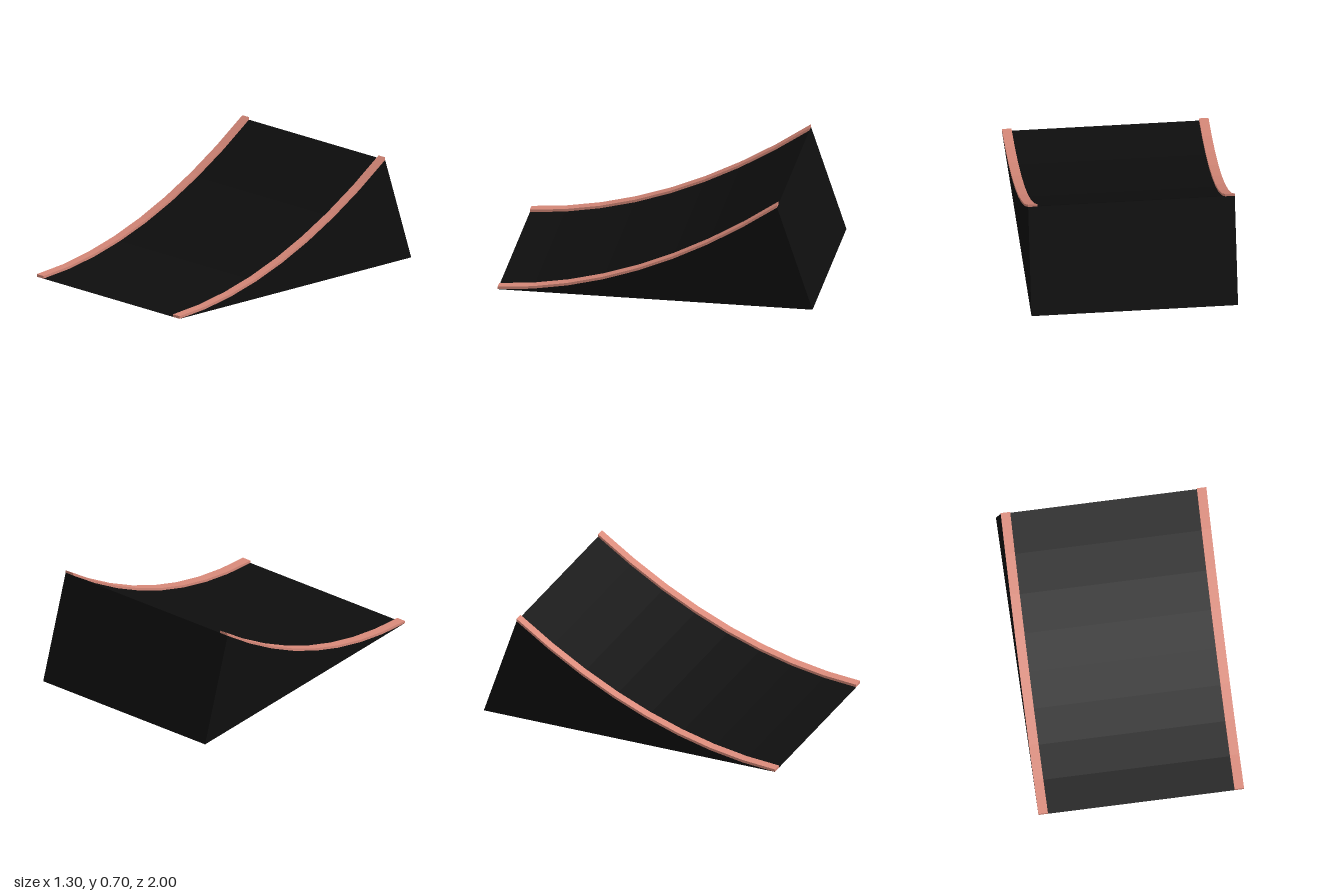
import * as THREE from 'three';

const HALF_W = 0.65, RAIL_W = 0.06, RAIL_H = 0.017;
const FRONT = 1, CREST = -0.775, BACK = -1, STEPS = 8;

// Height of the ramp curve, t = 0 at the front lip and 1 at the crest
const rise = t => 0.075 * t + 0.606 * t * t;
const depth = t => THREE.MathUtils.lerp(FRONT, CREST, t);

// Curve points as (z, y), lifted by a fixed amount
function curvePoints(lift = 0) {
  return Array.from({ length: STEPS + 1 }, (_, i) =>
    new THREE.Vector2(depth(i / STEPS), rise(i / STEPS) + lift));
}

export function createModel() {
  const group = new THREE.Group();
  const black = new THREE.MeshStandardMaterial({ color: 0x0e0e0e, side: THREE.DoubleSide, flatShading: true });
  const salmon = new THREE.MeshStandardMaterial({ color: 0xd98a7a, flatShading: true });

  const add = (name, geometry, material) => {
    const mesh = new THREE.Mesh(geometry, material);
    mesh.name = name;
    group.add(mesh);
    return mesh;
  };

  // Curved riding surface between the rails
  const deck = new THREE.PlaneGeometry(2 * (HALF_W - RAIL_W), 1, 1, STEPS);
  const pos = deck.attributes.position;
  for (let i = 0; i < pos.count; i++) {
    const t = pos.getY(i) + 0.5;
    pos.setXYZ(i, pos.getX(i), rise(t), depth(t));
  }
  deck.computeVertexNormals();
  add('deck', deck, black);

  // Sloping back panel; the underside stays open
  const height = rise(1), run = CREST - BACK;
  const back = new THREE.PlaneGeometry(2 * HALF_W, Math.hypot(height, run));
  back.rotateY(Math.PI).rotateX(Math.atan2(run, height));
  back.translate(0, height / 2, (CREST + BACK) / 2);
  add('backPanel', back, black);

  // Side panels and the raised rails along their top edges
  const sideShape = new THREE.Shape([...curvePoints(), new THREE.Vector2(BACK, 0)]);
  const railShape = new THREE.Shape([...curvePoints(), ...curvePoints(RAIL_H).reverse()]);
  for (const [side, s] of [['left', 1], ['right', -1]]) {
    const panel = new THREE.ShapeGeometry(sideShape).rotateY(-Math.PI / 2);
    add(side + 'SidePanel', panel, black).position.x = s * HALF_W;

    const rail = new THREE.ExtrudeGeometry(railShape, { depth: RAIL_W, bevelEnabled: false });
    rail.rotateY(-Math.PI / 2).translate(RAIL_W / 2, 0, 0);
    add(side + 'Rail', rail, salmon).position.x = s * (HALF_W - RAIL_W / 2);
  }
  return group;
}
